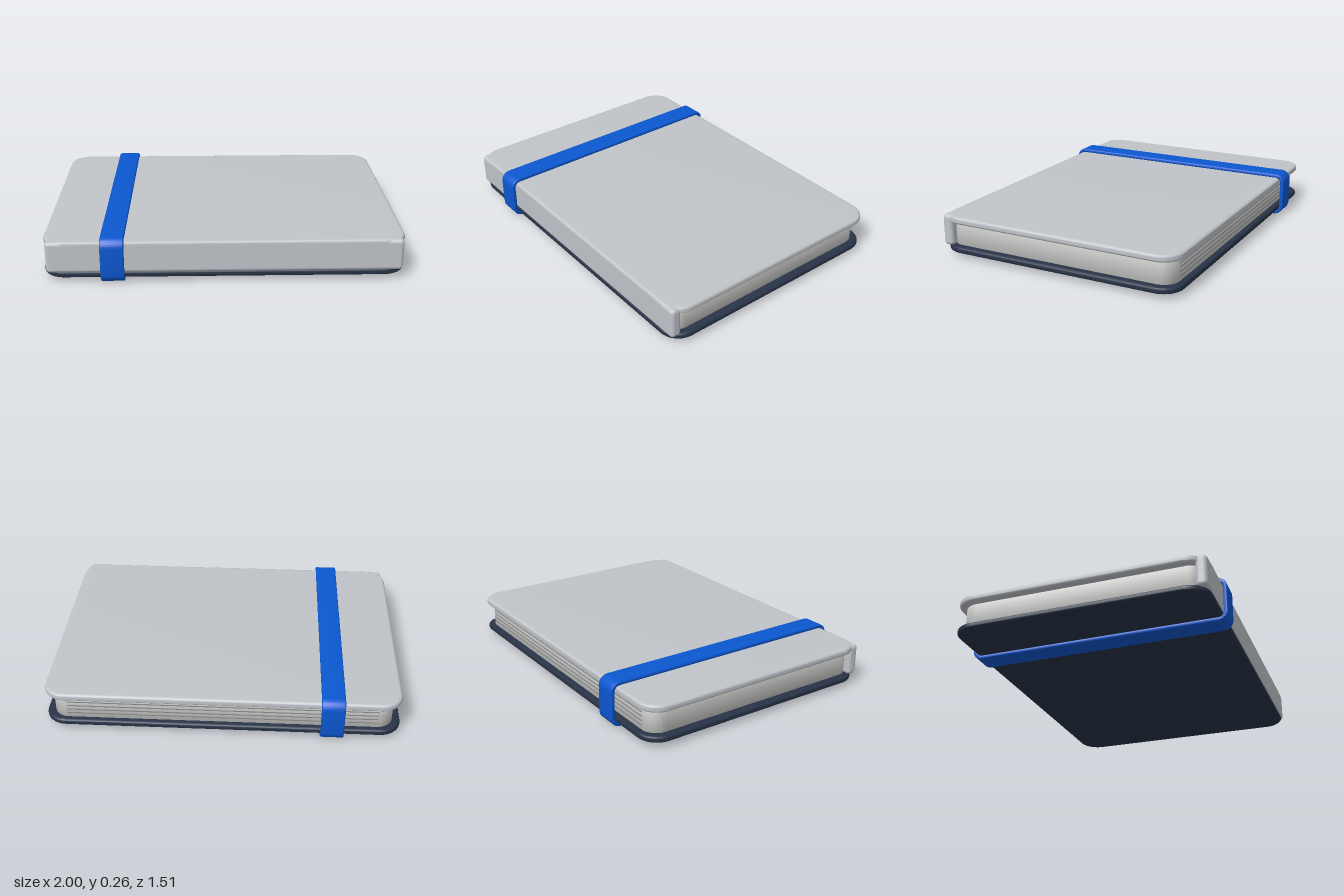
import * as THREE from 'three';
import { toCreasedNormals } from 'three/addons/utils/BufferGeometryUtils.js';
import { RoundedBoxGeometry } from 'three/addons/geometries/RoundedBoxGeometry.js';

const material = (name, color) => Object.assign(new THREE.MeshStandardMaterial({ color }), { name });

// Traces a rounded rectangle centred on the origin
function roundedRect(path, w, h, r) {
  const x = w / 2, y = h / 2;
  path.moveTo(x, -y + r);
  path.lineTo(x, y - r);
  path.absarc(x - r, y - r, r, 0, Math.PI / 2);
  path.lineTo(-x + r, y);
  path.absarc(-x + r, y - r, r, Math.PI / 2, Math.PI);
  path.lineTo(-x, -y + r);
  path.absarc(-x + r, -y + r, r, Math.PI, Math.PI * 1.5);
  path.lineTo(x - r, -y);
  path.absarc(x - r, -y + r, r, Math.PI * 1.5, Math.PI * 2);
  return path;
}

// Centred extrusion with softened rims, keeping the given outer thickness
function extrude(shape, thickness, bevel) {
  const geometry = new THREE.ExtrudeGeometry(shape, {
    depth: thickness - 2 * bevel, curveSegments: 10,
    bevelEnabled: bevel > 0, bevelThickness: bevel, bevelSize: bevel, bevelOffset: -bevel, bevelSegments: 4,
  });
  geometry.translate(0, 0, bevel - thickness / 2);
  return toCreasedNormals(geometry, 0.6);
}

// Flat slab lying in the ground plane
const slab = (w, d, thickness, r, bevel) =>
  extrude(roundedRect(new THREE.Shape(), w, d, r), thickness, bevel).rotateX(-Math.PI / 2);

export function createModel() {
  const model = new THREE.Group();
  model.name = 'notebook';
  const silver = material('silver cover', 0xc0c4c9);
  const navy = material('navy cover', 0x283347);
  const paper = material('paper', 0xc8c8c6);
  const line = material('page line grey', 0x85878a);
  const blue = material('band blue', 0x0b57d0);

  const add = (name, geometry, mat, x, y, z) => {
    const mesh = new THREE.Mesh(geometry, mat);
    mesh.name = name;
    mesh.position.set(x, y, z);
    model.add(mesh);
  };

  // Covers and page block
  add('topCover', slab(2, 1.45, 0.042, 0.12, 0.018), silver, 0, 0.215, 0);
  add('bottomCover', slab(2, 1.45, 0.036, 0.12, 0.016), navy, 0, 0.043, 0);
  add('pageBlock', slab(1.91, 1.39, 0.142, 0.09, 0.006), paper, 0, 0.127, 0.005);

  // Spine along the front edge
  add('spine', new RoundedBoxGeometry(1.96, 0.182, 0.064, 4, 0.022), silver, 0, 0.144, 0.693);

  // Fine lines marking the page edges
  for (let i = 0; i < 4; i++) {
    add('pageLine', new THREE.BoxGeometry(1.74, 0.005, 0.006), line, 0, 0.09 + i * 0.025, -0.69);
  }

  // Elastic band wrapped around the closed book
  const loop = roundedRect(new THREE.Shape(), 1.506, 0.26, 0.055);
  loop.holes.push(roundedRect(new THREE.Path(), 1.462, 0.216, 0.033));
  add('elasticBand', extrude(loop, 0.13, 0.006).rotateY(Math.PI / 2), blue, -0.615, 0.13, 0);

  return model;
}
